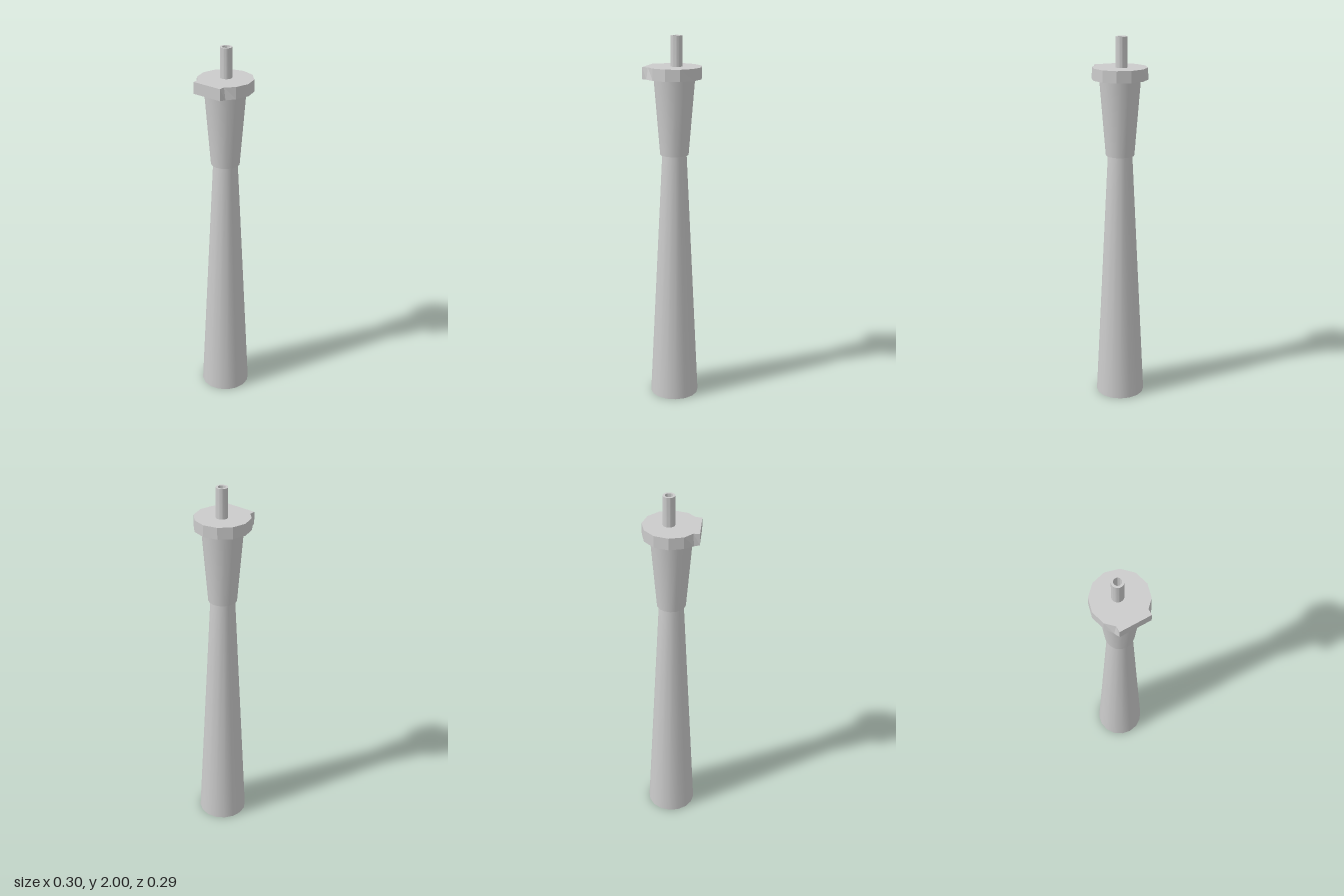
import * as THREE from 'three';
import { toCreasedNormals } from 'three/addons/utils/BufferGeometryUtils.js';

const material = new THREE.MeshStandardMaterial({ color: 0xcccccc });

function add(group, name, geometry, x = 0, y = 0, z = 0) {
  const mesh = new THREE.Mesh(geometry, material);
  mesh.name = name;
  mesh.position.set(x, y, z);
  group.add(mesh);
}

// Tapered round section standing between two heights
function taper(group, name, rBottom, rTop, y0, y1, sides) {
  add(group, name, new THREE.CylinderGeometry(rTop, rBottom, y1 - y0, sides), -0.001, (y0 + y1) / 2, 0);
}

// Twelve-sided plate with a squared tab at the front, flaring slightly downwards
function collarGeometry() {
  const points = [];
  for (let k = -1; k <= 7; k++) {
    const a = (k * Math.PI) / 6;
    points.push(new THREE.Vector2(0.146 * Math.cos(a), 0.147 * Math.sin(a)));
  }
  const tab = 0.085, notch = 0.115, front = 0.147;
  points.push(
    new THREE.Vector2(-tab, -notch), new THREE.Vector2(-tab, -front),
    new THREE.Vector2(tab, -front), new THREE.Vector2(tab, -notch)
  );
  const geo = new THREE.ExtrudeGeometry(new THREE.Shape(points), { depth: 0.062, bevelEnabled: false });
  geo.rotateX(-Math.PI / 2);
  const pos = geo.attributes.position;
  for (let i = 0; i < pos.count; i++) {
    if (pos.getY(i) > 0.01) continue;
    const x = pos.getX(i), z = pos.getZ(i);
    if (Math.abs(z - notch) < 0.001) pos.setXYZ(i, Math.sign(x) * 0.098, 0, 0.119);
    else if (z < notch) pos.setX(i, x * 1.015);
  }
  geo.computeVertexNormals();
  return geo;
}

// Hollow pin with a floor inside the bore
function pinGeometry() {
  const profile = [[0, 0], [0.031, 0], [0.031, 0.16], [0.02, 0.16], [0.02, 0.005], [0, 0.005]];
  const geo = new THREE.LatheGeometry(profile.map(([r, y]) => new THREE.Vector2(r, y)), 32);
  return toCreasedNormals(geo, 0.6);
}

export function createModel() {
  const group = new THREE.Group();
  group.name = 'taperedHandle';
  taper(group, 'shaft', 0.133, 0.065, 0, 1.38, 16);
  taper(group, 'sleeve', 0.076, 0.109, 1.376, 1.785, 16);
  add(group, 'collar', collarGeometry(), 0, 1.78, 0);
  add(group, 'pin', pinGeometry(), -0.005, 1.84, -0.011);
  return group;
}
